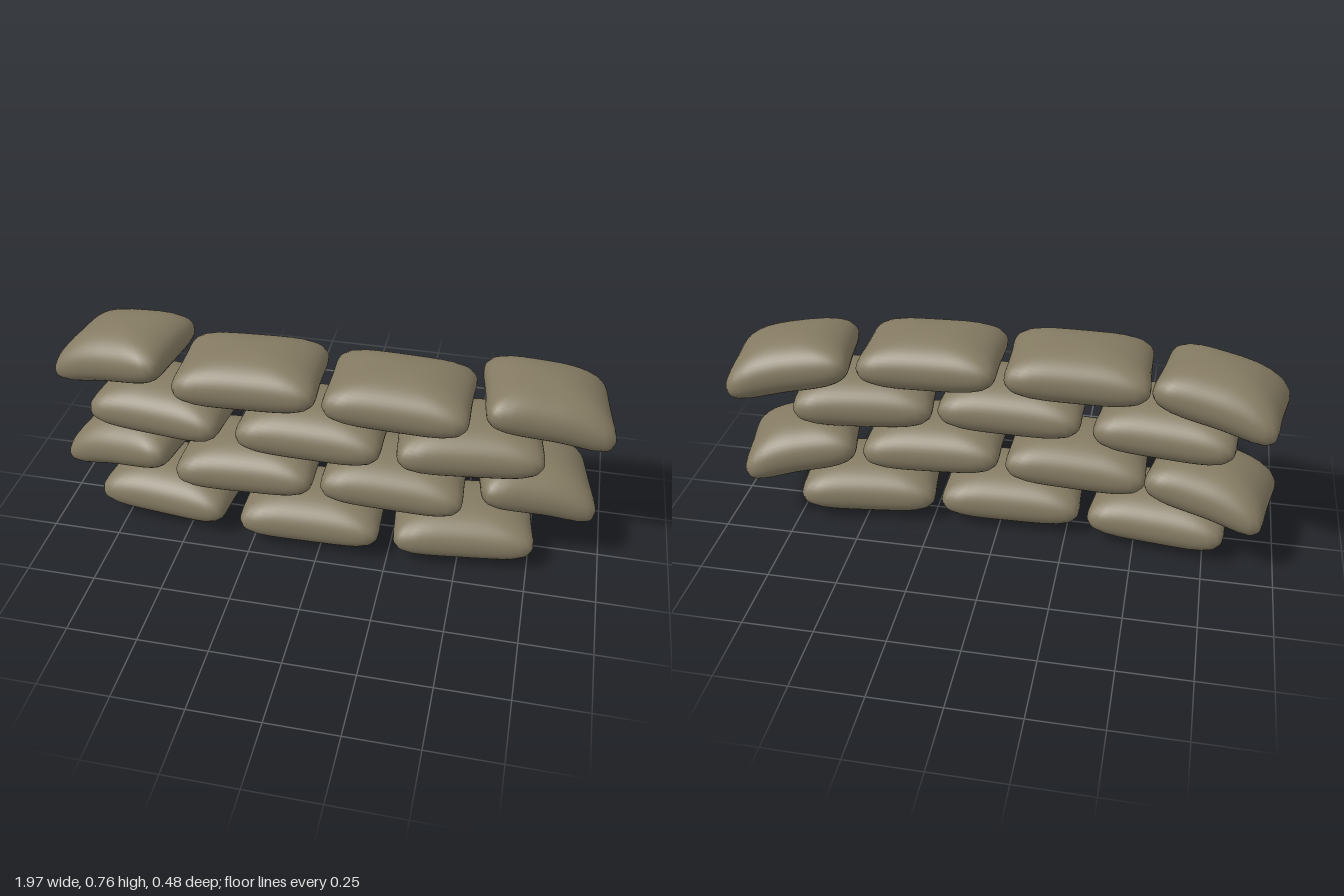
import * as THREE from 'three';
import { mergeVertices } from 'three/addons/utils/BufferGeometryUtils.js';

const spow = (v, e) => Math.sign(v) * Math.pow(Math.abs(v), e);

// Stuffed sack: squarish in plan, rounded in profile, slightly waisted sides.
// droop bends the end on the given side (-1 or 1) downwards.
function sackGeometry(a, b, c, droopSide = 0) {
  let geo = new THREE.SphereGeometry(1, 56, 28);
  geo.deleteAttribute('uv');
  geo.deleteAttribute('normal');
  geo = mergeVertices(geo, 1e-4);
  const p = geo.attributes.position;
  for (let i = 0; i < p.count; i++) {
    const x = p.getX(i), y = p.getY(i), z = p.getZ(i);
    const ring = Math.hypot(x, z);
    const t = Math.atan2(z, x);
    const n = 3 + 5 * ring * ring; // plan gets squarer towards the seam
    const cs = Math.cos(t), sn = Math.sin(t);
    const r = Math.pow(Math.pow(Math.abs(cs), n) + Math.pow(Math.abs(sn), n), -1 / n);
    const spread = Math.pow(ring, 0.88);
    const u = r * cs * spread, w = r * sn * spread;
    const waistX = 1 - 0.035 * (1 - w * w), waistZ = 1 - 0.035 * (1 - u * u);
    const corner = 1 - 0.12 * u * u * w * w; // corners are thinner
    const out = Math.max(0, u * droopSide);
    p.setXYZ(i, a * u * waistX, b * spow(y, 0.92) * corner - 0.035 * out * out, c * w * waistZ);
  }
  geo.computeVertexNormals();
  return geo;
}

export function createModel() {
  const wall = new THREE.Group();
  wall.name = 'sandbagWall';
  const material = new THREE.MeshStandardMaterial({ color: 0x857b63 });

  // each bag: x, y, z, yaw, roll, half length, droop side
  const rows = [
    [
      [-0.587, 0.105, 0.012, -0.11, 0, 0.252, 0],
      [-0.04, 0.105, 0.052, 0.02, 0, 0.262, 0],
      [0.503, 0.105, 0.022, 0.12, 0, 0.256, 0],
    ],
    [
      [-0.758, 0.277, -0.035, -0.19, 0.15, 0.22, -1],
      [-0.277, 0.288, 0.04, 0.0, 0.04, 0.257, 0],
      [0.253, 0.297, 0.043, 0.02, -0.04, 0.257, 0],
      [0.74, 0.297, -0.045, 0.2, -0.15, 0.212, 1],
    ],
    [
      [-0.592, 0.474, 0.012, -0.11, 0, 0.252, 0],
      [-0.037, 0.482, 0.055, -0.02, 0, 0.262, 0],
      [0.503, 0.475, 0.025, 0.12, 0, 0.256, 0],
    ],
    [
      [-0.761, 0.648, -0.037, -0.17, 0.15, 0.222, -1],
      [-0.268, 0.647, 0.038, 0.03, 0.02, 0.257, 0],
      [0.258, 0.638, 0.045, 0.0, -0.03, 0.254, 0],
      [0.755, 0.626, -0.032, 0.14, -0.15, 0.228, 1],
    ],
  ];

  rows.forEach((bags, r) => {
    const row = new THREE.Group();
    row.name = `sandbagRow${r + 1}`;
    bags.forEach(([x, y, z, yaw, roll, half, droop], i) => {
      const bag = new THREE.Mesh(sackGeometry(half, 0.105, 0.178, droop), material);
      bag.name = `sandbag${r + 1}_${i + 1}`;
      bag.position.set(x, y, z);
      bag.rotation.set(0, yaw, roll, 'ZYX');
      row.add(bag);
    });
    wall.add(row);
  });
  return wall;
}
